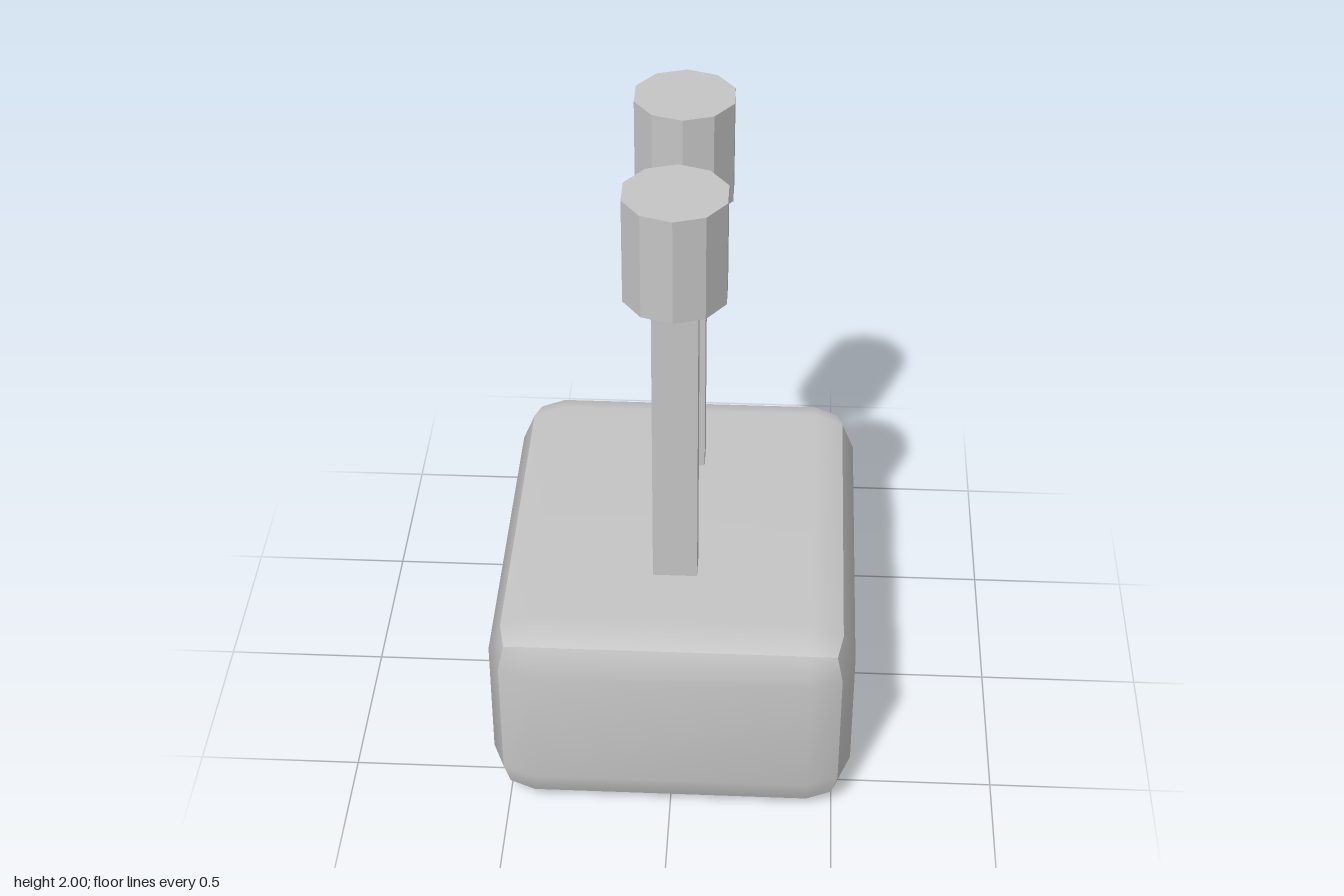
import * as THREE from 'three';

const BASE = { w: 1.11, h: 0.667, d: 1.333, bevel: 0.133 };
const POST_Z = 0.278;

// Box whose outer ring of cells is bent into a two-step bevel; each side keeps its own normals.
function beveledBox(w, h, d, r) {
  const geometry = new THREE.BoxGeometry(1, 1, 1, 3, 3, 3);
  const p = geometry.attributes.position;
  const inner = new THREE.Vector3(w / 2 - r, h / 2 - r, d / 2 - r);
  const v = new THREE.Vector3();
  const bend = (c) => (Math.abs(c) > 0.4 ? Math.sign(c) : 0);
  for (let i = 0; i < p.count; i++) {
    v.fromBufferAttribute(p, i);
    const core = new THREE.Vector3(Math.sign(v.x), Math.sign(v.y), Math.sign(v.z)).multiply(inner);
    v.set(bend(v.x), bend(v.y), bend(v.z)).normalize().multiplyScalar(r).add(core);
    p.setXYZ(i, v.x, v.y, v.z);
  }
  geometry.computeVertexNormals();
  return geometry;
}

export function createModel() {
  const model = new THREE.Group();
  const grey = new THREE.MeshStandardMaterial({ color: 0xc4c4c4, flatShading: false });
  grey.name = 'grey';

  function add(parent, name, geometry, y, z = 0) {
    const mesh = new THREE.Mesh(geometry, grey);
    mesh.name = name;
    mesh.position.set(0, y, z);
    parent.add(mesh);
  }

  // Heavy beveled base
  add(model, 'base', beveledBox(BASE.w, BASE.h, BASE.d, BASE.bevel), BASE.h / 2);

  // Two upright levers: flat bar with a ten-sided knob
  const bar = new THREE.BoxGeometry(0.135, 1.04, 0.086);
  const knob = new THREE.CylinderGeometry(0.155, 0.155, 0.33, 10).toNonIndexed();
  knob.computeVertexNormals(); // faceted sides
  for (const side of [1, -1]) {
    const lever = new THREE.Group();
    lever.name = side > 0 ? 'frontLever' : 'backLever';
    add(lever, 'bar', bar, 1.16, side * POST_Z);
    add(lever, 'knob', knob, 1.835, side * POST_Z);
    model.add(lever);
  }
  return model;
}
